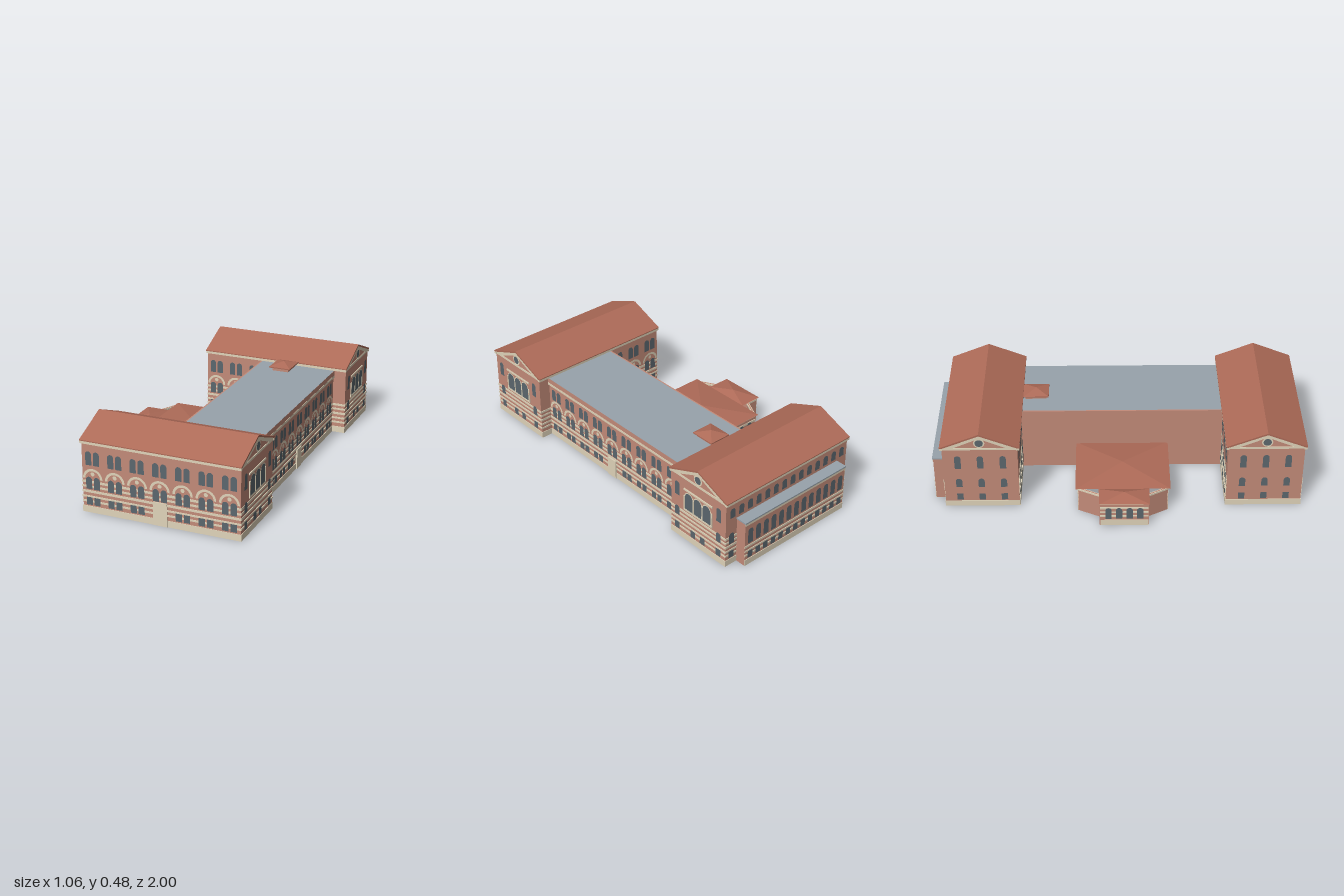
import * as THREE from 'three';
import { mergeGeometries } from 'three/addons/utils/BufferGeometryUtils.js';

const material = (name, color) => {
  const m = new THREE.MeshStandardMaterial({ color });
  m.name = name;
  return m;
};

export function createModel() {
  const brick = material('brick', 0xc38b79);
  const tile = material('roof tile', 0xae6b58);
  tile.side = THREE.DoubleSide;
  const stone = material('stone', 0xe0d4ba);
  const glass = material('window glass', 0x5c676e);
  const slate = material('flat roof', 0x98a3ac);
  const root = new THREE.Group();

  const add = (name, geometry, mat, parent = root) => {
    const mesh = new THREE.Mesh(geometry, mat);
    mesh.name = name;
    parent.add(mesh);
    return mesh;
  };
  // Box given by its limits
  const block = (name, x0, x1, y0, y1, z0, z1, mat) =>
    add(name, new THREE.BoxGeometry(x1 - x0, y1 - y0, z1 - z0)
      .translate((x0 + x1) / 2, (y0 + y1) / 2, (z0 + z1) / 2), mat);
  const polygon = (pts) => new THREE.Shape(pts.map(([x, y]) => new THREE.Vector2(x, y)));

  // Facade: collects stone and glass details in a local plane that faces +z
  function facade(name, x, z, angle, draw) {
    const parts = { stone: [], glass: [] };
    const pen = {
      band(u0, u1, y0, y1, d = 0.003, back = 0) {
        parts.stone.push(new THREE.BoxGeometry(u1 - u0, y1 - y0, d + back)
          .translate((u0 + u1) / 2, (y0 + y1) / 2, (d - back) / 2));
      },
      window(u, y0, y1, w, arched = true) {
        const s = new THREE.Shape(), h = w / 2, top = arched ? y1 - h : y1;
        s.moveTo(u - h, y0);
        s.lineTo(u + h, y0);
        s.lineTo(u + h, top);
        if (arched) s.absarc(u, top, h, 0, Math.PI, false);
        else s.lineTo(u - h, top);
        parts.glass.push(new THREE.ShapeGeometry(s, 6).translate(0, 0, 0.004));
      },
      disc(u, y, r, kind, d) {
        parts[kind].push(new THREE.CircleGeometry(r, 14).translate(u, y, d));
      },
      arch(u, y, r0, r1) {
        parts.stone.push(new THREE.RingGeometry(r0, r1, 16, 1, 0, Math.PI).translate(u, y, 0.005));
      },
      plate(pts, d) {
        parts.stone.push(new THREE.ShapeGeometry(polygon(pts)).translate(0, 0, d));
      },
    };
    draw(pen);
    const g = new THREE.Group();
    g.name = name;
    g.position.set(x, 0, z);
    g.rotation.y = angle;
    if (parts.stone.length) add('stoneTrim', mergeGeometries(parts.stone), stone, g);
    if (parts.glass.length) add('windows', mergeGeometries(parts.glass), glass, g);
    root.add(g);
  }

  const stripeRows = [[0.057, 0.067], [0.083, 0.093], [0.11, 0.122], [0.138, 0.148], [0.163, 0.175]];
  const stripes = (p, half, top = 1) => {
    p.band(-half - 0.003, half + 0.003, 0, 0.035);
    for (const [a, b] of stripeRows) if (b < top) p.band(-half - 0.003, half + 0.003, a, b);
  };
  // Bay of paired windows on three floors with a round arch over the middle pair
  const bay = (p, u, y0, y1, ground = true) => {
    for (const s of [-0.022, 0.022]) {
      if (ground) p.window(u + s, 0.043, 0.085, 0.034, false);
      p.window(u + s, 0.13, 0.197, 0.034);
      p.window(u + s, y0, y1, 0.034);
    }
    p.arch(u, 0.188, 0.042, 0.055);
    p.disc(u, 0.214, 0.011, 'stone', 0.005);
  };

  // Two gabled wings, hollow and open below
  const t = 0.006;
  const wingX0 = -0.35, wingX1 = 0.513, wingMid = (wingX0 + wingX1) / 2, half = (wingX1 - wingX0) / 2;
  const extrudeX = (pts, x0, x1, z) =>
    new THREE.ExtrudeGeometry(polygon(pts), { depth: x1 - x0, bevelEnabled: false })
      .rotateY(Math.PI / 2).translate(x0, 0, z);
  const wings = [['frontWing', 0.785, 0.203, 0], ['backWing', -0.733, 0.2, 0.007]];
  for (const [name, zc, d, dx] of wings) {
    const x0 = wingX0 + dx, x1 = wingX1 + dx, e = d + 0.012;
    add(name + 'Roof', extrudeX([[-e, 0.389], [-d, 0.389], [0, 0.47], [d, 0.389], [e, 0.389], [e, 0.394],
      [0, 0.48], [-e, 0.394]], x0 - 0.006, x1 + 0.006, zc), tile);
    for (const s of [-1, 1]) {
      const zw = zc + s * d, end = s > 0 ? x1 : x0;
      block(name + 'Wall', x0, x1, 0, 0.389, Math.min(zw, zw - s * t), Math.max(zw, zw - s * t), brick);
      add(name + 'GableWall', extrudeX([[-d, 0], [d, 0], [d, 0.389], [0, 0.47], [-d, 0.389]],
        Math.min(end, end - s * t), Math.max(end, end - s * t), zc), brick);
      block(name + 'Cornice', x0 - 0.005, x1 + 0.005, 0.375, 0.389,
        zc + s * (d + 0.003) - 0.008, zc + s * (d + 0.003) + 0.008, stone);
      // Gable ends
      facade(name + 'Gable', end, zc, s * Math.PI / 2, (p) => {
        if (s > 0) stripes(p, d);
        else p.band(-d, d, 0, 0.035);
        p.band(-d - 0.006, d + 0.006, 0.378, 0.39);
        p.plate([[-d, 0.378], [-d + 0.03, 0.378], [0, 0.452], [d - 0.03, 0.378], [d, 0.378], [d, 0.389],
          [0, 0.47], [-d, 0.389]], 0.0035);
        p.disc(0, 0.423, 0.03, 'stone', 0.0042);
        p.disc(0, 0.423, 0.022, 'glass', 0.0052);
        for (const u of s > 0 ? [-0.152, 0.152] : [-0.12, 0, 0.12]) {
          p.window(u, 0.043, 0.085, 0.034, false);
          p.window(u, 0.13, 0.187, 0.034);
          p.window(u, 0.255, 0.338, 0.034);
        }
        if (s < 0) return;
        for (const u of [-0.035, 0.035]) p.window(u, 0.043, 0.085, 0.034, false);
        // Triple window with a stone frame
        p.band(-0.105, 0.105, 0.186, 0.198, 0.005);
        p.band(-0.105, 0.105, 0.31, 0.32, 0.005);
        for (const u of [-0.1, -0.032, 0.032, 0.1]) p.band(u - 0.004, u + 0.004, 0.198, 0.275, 0.005);
        for (const u of [-0.065, 0, 0.065]) {
          p.window(u, 0.198, 0.303, 0.056);
          p.arch(u, 0.275, 0.027, 0.033);
        }
      });
    }
  }

  // Long wing fronts
  const step = 0.124, firstBay = 0.082 - wingMid;
  facade('frontFacade', wingMid, 0.988, 0, (p) => {
    stripes(p, half);
    for (let k = -3; k <= 3; k++) bay(p, firstBay + k * step, 0.26, 0.335, k !== 0);
    p.band(firstBay - 0.038, firstBay + 0.038, 0, 0.126, 0.006, 0.009);
  });
  facade('frontWingCourtFacade', wingMid, 0.582, Math.PI, (p) => {
    stripes(p, half);
    for (let k = 1; k <= 3; k++) bay(p, -firstBay + k * step, 0.26, 0.335);
  });
  facade('backWingCourtFacade', wingMid + 0.007, -0.533, 0, (p) => {
    stripes(p, half);
    for (let k = -3; k <= -1; k++) bay(p, firstBay + k * step, 0.26, 0.335);
  });
  facade('backFacade', wingMid + 0.007, -0.933, Math.PI, (p) => {
    stripes(p, half);
    for (let k = -6.5; k <= 6.5; k++) p.window(k * 0.06, 0.288, 0.345, 0.034);
    for (const u of [-0.395, 0.395]) {
      p.window(u, 0.043, 0.085, 0.034, false);
      p.window(u, 0.13, 0.197, 0.034);
    }
  });

  // Low rear range along the back wing
  block('rearRangeWall', -0.272, 0.445, 0, 0.262, -0.993, -0.993 + t, brick);
  for (const x of [-0.272, 0.445 - t]) block('rearRangeEnd', x, x + t, 0, 0.262, -0.993, -0.93, brick);
  block('rearRangeRoof', -0.275, 0.448, 0.262, 0.27, -0.998, -0.93, slate);
  facade('rearRangeFacade', 0.0865, -0.993, Math.PI, (p) => {
    stripes(p, 0.356, 0.13);
    p.band(-0.36, 0.36, 0.248, 0.262);
    for (let k = -6; k <= 6; k++) {
      p.window(k * 0.054, 0.043, 0.085, 0.032, false);
      p.window(k * 0.054, 0.135, 0.225, 0.034);
    }
  });

  // Central block between the wings
  block('centralEastWall', 0.446 - t, 0.446, 0, 0.36, -0.535, 0.585, brick);
  block('centralWestWall', 0.005, 0.005 + t, 0, 0.36, -0.535, 0.585, brick);
  block('centralFlatRoof', 0.012, 0.452, 0.36, 0.375, -0.533, 0.583, slate);
  block('eastParapet', 0.446, 0.4525, 0.345, 0.374, -0.533, 0.583, brick);
  block('westParapet', 0.004, 0.012, 0.345, 0.375, -0.533, 0.583, brick);
  facade('centralFacade', 0.446, 0.03, Math.PI / 2, (p) => {
    stripes(p, 0.552);
    p.band(-0.555, 0.555, 0.332, 0.346, 0.008);
    for (let k = -4; k <= 4; k++) bay(p, k * 0.1215, 0.243, 0.312, k !== 0);
    p.band(-0.035, 0.03, 0, 0.112, 0.009, 0.009);
  });

  // Roof surface built from a rectangle and a peak
  const hip = (name, x0, x1, y0, z0, z1, px, py, pz) => {
    const c = [[x0, z1], [x1, z1], [x1, z0], [x0, z0]], v = [];
    c.forEach(([x, z], i) => {
      const [nx, nz] = c[(i + 1) % 4];
      v.push(x, y0, z, nx, y0, nz, px, py, pz);
    });
    const g = new THREE.BufferGeometry();
    g.setAttribute('position', new THREE.Float32BufferAttribute(v, 3));
    g.computeVertexNormals();
    return add(name, g, tile);
  };

  // Rooftop lantern
  block('lanternBase', 0.125, 0.22, 0.365, 0.398, -0.51, -0.393, brick);
  block('lanternEave', 0.11, 0.235, 0.393, 0.399, -0.52, -0.38, tile);
  hip('lanternRoof', 0.11, 0.235, 0.399, -0.52, -0.38, 0.1725, 0.42, -0.45);

  // Pavilion on the court side: open ring of walls under two hipped roofs
  const ring = [[0.006, 0.262], [-0.388, 0.262], [-0.445, 0.158], [-0.512, 0.158], [-0.512, -0.098],
    [-0.445, -0.098], [-0.388, -0.212], [0.006, -0.212]];
  const wallRun = (name, y0, y1, thick, mat) => {
    for (let i = 0; i < ring.length - 1; i++) {
      const [ax, az] = ring[i], [bx, bz] = ring[i + 1];
      const wall = add(name, new THREE.BoxGeometry(Math.hypot(bx - ax, bz - az) + thick / 2, y1 - y0, thick), mat);
      wall.position.set((ax + bx) / 2, (y0 + y1) / 2, (az + bz) / 2);
      wall.rotation.y = -Math.atan2(bz - az, bx - ax);
    }
  };
  wallRun('pavilionWall', 0, 0.151, t, brick);
  wallRun('pavilionCornice', 0.14, 0.15, 0.014, stone);
  const pavilionFace = (halfWidth, count, spacing) => (p) => {
    stripes(p, halfWidth, 0.13);
    for (let k = 0; k < count; k++) p.window((k - (count - 1) / 2) * spacing, 0.045, 0.118, 0.034);
  };
  facade('pavilionFrontFace', -0.192, 0.265, 0, pavilionFace(0.195, 6, 0.06));
  facade('pavilionBackFace', -0.192, -0.215, Math.PI, pavilionFace(0.195, 6, 0.06));
  facade('pavilionCourtFace', -0.515, 0.03, -Math.PI / 2, pavilionFace(0.125, 4, 0.056));
  hip('pavilionRoof', -0.4, 0.016, 0.152, -0.23, 0.28, -0.197, 0.18, 0.025);
  hip('pavilionBayRoof', -0.53, -0.4, 0.152, -0.105, 0.165, -0.452, 0.174, 0.03);

  return root;
}
